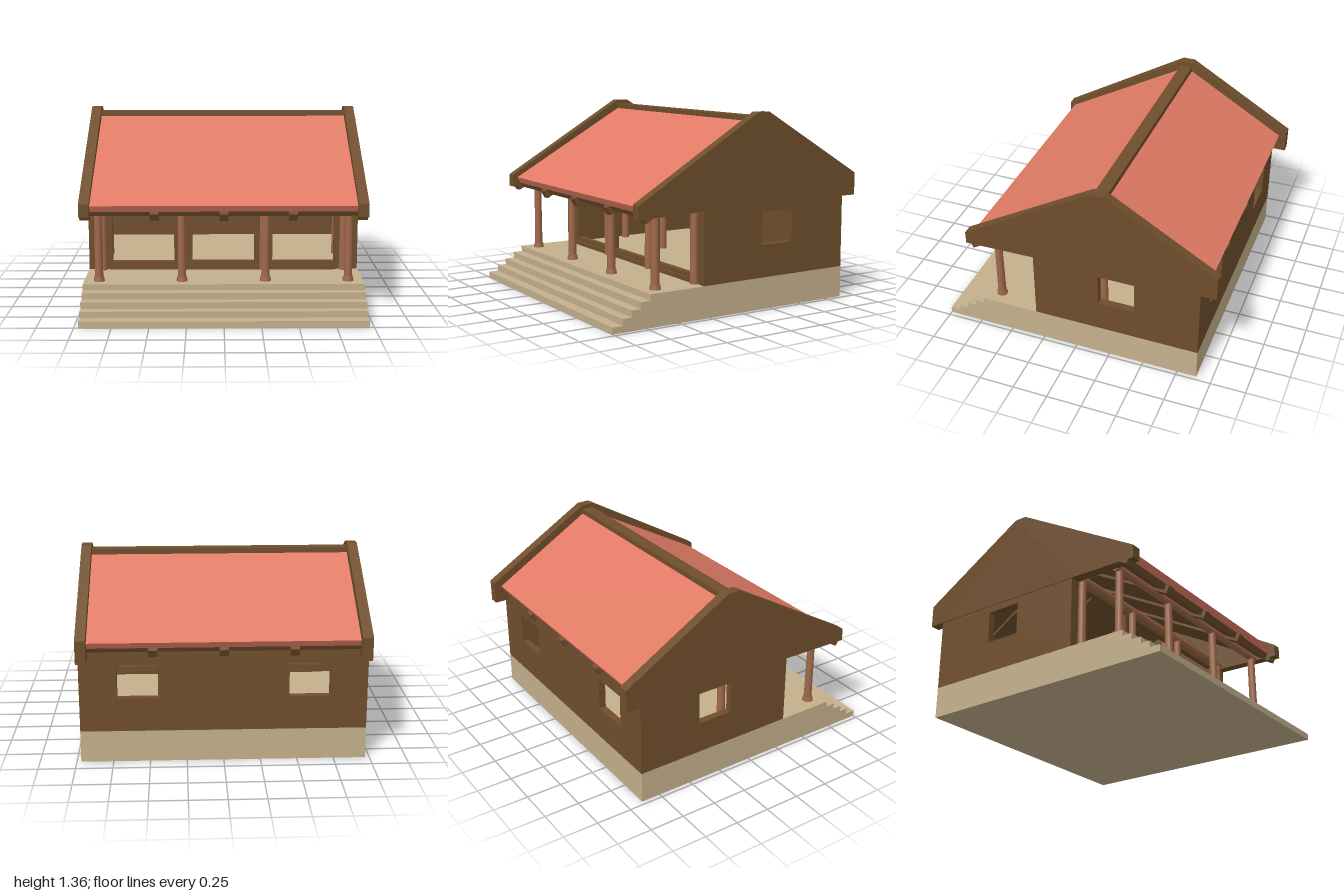
import * as THREE from 'three';

const stone = new THREE.MeshStandardMaterial({ color: 0xc4b08c });
const wood = new THREE.MeshStandardMaterial({ color: 0x6f4e2c });
const tile = new THREE.MeshStandardMaterial({ color: 0xe07a64 });
const log = new THREE.MeshStandardMaterial({ color: 0xa0694a });

export function createModel() {
  const house = new THREE.Group();
  house.name = 'house';

  function add(name, geometry, material, x = 0, y = 0, z = 0) {
    const mesh = new THREE.Mesh(geometry, material);
    mesh.name = name;
    mesh.position.set(x, y, z);
    house.add(mesh);
    return mesh;
  }

  // Box given by its limits on each axis
  function box(name, material, x0, x1, y0, y1, z0, z1) {
    add(name, new THREE.BoxGeometry(x1 - x0, y1 - y0, z1 - z0), material,
      (x0 + x1) / 2, (y0 + y1) / 2, (z0 + z1) / 2);
  }

  function outline(points, holes = []) {
    const shape = new THREE.Shape(points.map(p => new THREE.Vector2(...p)));
    for (const [a0, a1, b0, b1] of holes) {
      shape.holes.push(new THREE.Path([[a0, b0], [a0, b1], [a1, b1], [a1, b0]]
        .map(p => new THREE.Vector2(...p))));
    }
    return shape;
  }

  // Side profile of [z, y] points, extruded across x and centred on the given x
  function acrossX(name, material, points, width, x = 0, holes = []) {
    const geometry = new THREE.ExtrudeGeometry(outline(points, holes), { depth: width, bevelEnabled: false });
    geometry.translate(0, 0, -width / 2).rotateY(-Math.PI / 2);
    add(name, geometry, material, x);
  }

  // Stepped stone platform
  acrossX('steppedBase', stone, [
    [-0.89, 0], [1, 0], [1, 0.045], [0.925, 0.045], [0.925, 0.09], [0.86, 0.09], [0.86, 0.135],
    [0.79, 0.135], [0.79, 0.18], [0.72, 0.18], [0.72, 0.222], [-0.89, 0.222],
  ], 1.94);

  // Side walls with windows, and gable ends that carry the roof edges
  for (const side of [-1, 1]) {
    acrossX('sideWall', wood, [[-0.89, 0.22], [0.305, 0.22], [0.305, 0.75], [-0.89, 0.75]],
      0.05, side * 0.944, [[-0.43, -0.17, 0.45, 0.68]]);
    acrossX('gableEnd', wood, [
      [0.81, 0.71], [0.81, 0.80], [-0.13, 1.355], [-0.22, 1.355], [-1, 0.895], [-1, 0.735],
      [-0.89, 0.735], [0.34, 0.72], [0.70, 0.712], [0.755, 0.68], [0.77, 0.71],
    ], 0.07, side * 0.94);
    // Corner and middle panels of the open front
    box('cornerPanel', wood, side > 0 ? 0.8 : -0.96, side > 0 ? 0.96 : -0.8, 0.22, 0.76, 0.26, 0.30);
    box('frontPanel', wood, side * 0.29 - 0.065, side * 0.29 + 0.065, 0.22, 0.76, 0.26, 0.30);
  }

  // Back wall with two windows
  const windows = [[-0.715, -0.44, 0.455, 0.69], [0.44, 0.715, 0.455, 0.69]];
  add('backWall', new THREE.ExtrudeGeometry(
    outline([[-0.92, 0.22], [0.92, 0.22], [0.92, 0.81], [-0.92, 0.81]], windows),
    { depth: 0.05, bevelEnabled: false }), wood, 0, 0, -0.89);

  // Front sill and head beam
  box('lowerSill', wood, -0.82, 0.82, 0.22, 0.252, 0.25, 0.32);
  box('upperSill', wood, -0.82, 0.82, 0.252, 0.28, 0.26, 0.305);
  box('headBeam', wood, -0.91, 0.91, 0.70, 0.78, 0.26, 0.30);

  // Round columns in three rows, with a log beam over each row
  const rows = [
    { z: 0.62, top: 0.73, base: true },
    { z: 0.313, top: 0.75, base: false },
    { z: -0.175, top: 1.18, base: false },
  ];
  for (const { z, top, base } of rows) {
    for (const x of [-0.865, -0.29, 0.29, 0.865]) {
      add('column', new THREE.CylinderGeometry(0.026, 0.029, top - 0.22, 12), log, x, (top + 0.22) / 2, z);
      if (base) add('columnBase', new THREE.CylinderGeometry(0.034, 0.039, 0.032, 12), log, x, 0.238, z);
    }
    const beam = add('logBeam', new THREE.CylinderGeometry(0.028, 0.028, 1.82, 12), log, 0, top, z);
    beam.rotation.z = Math.PI / 2;
  }

  // Roof slopes: tiles over a boarded layer, with rafters poking out below
  const ridgeZ = -0.175;
  const slopes = [{ dir: 1, run: 0.95, eave: 0.78 }, { dir: -1, run: 0.77, eave: 0.86 }];
  for (const { dir, run, eave } of slopes) {
    const slab = (near, far, drop, thick) => {
      // Corners of a slab below the roof surface, cut square at the eave
      const slope = (1.315 - eave) / run;
      const n = Math.hypot(1, slope);
      const y = d => 1.315 - slope * d;
      const at = (d, depth) => [d - depth * slope / n, y(d) - depth / n];
      const low = drop + thick;
      return [[near, y(near) - drop * n], at(far, drop), at(far, low), [near, y(near) - low * n]]
        .map(([d, h]) => [ridgeZ + dir * d, h]);
    };
    acrossX('roofTiles', tile, slab(0, run, 0, 0.05), 1.82);
    acrossX('roofBoards', wood, slab(0, run - 0.005, 0.05, 0.043), 1.82);
    for (const x of [-0.47, 0, 0.47]) {
      acrossX('rafter', wood, slab(0, run + 0.022, 0.052, 0.06), 0.06, x);
    }
  }
  box('ridgeBeam', wood, -0.91, 0.91, 1.25, 1.325, -0.22, -0.13);

  return house;
}
